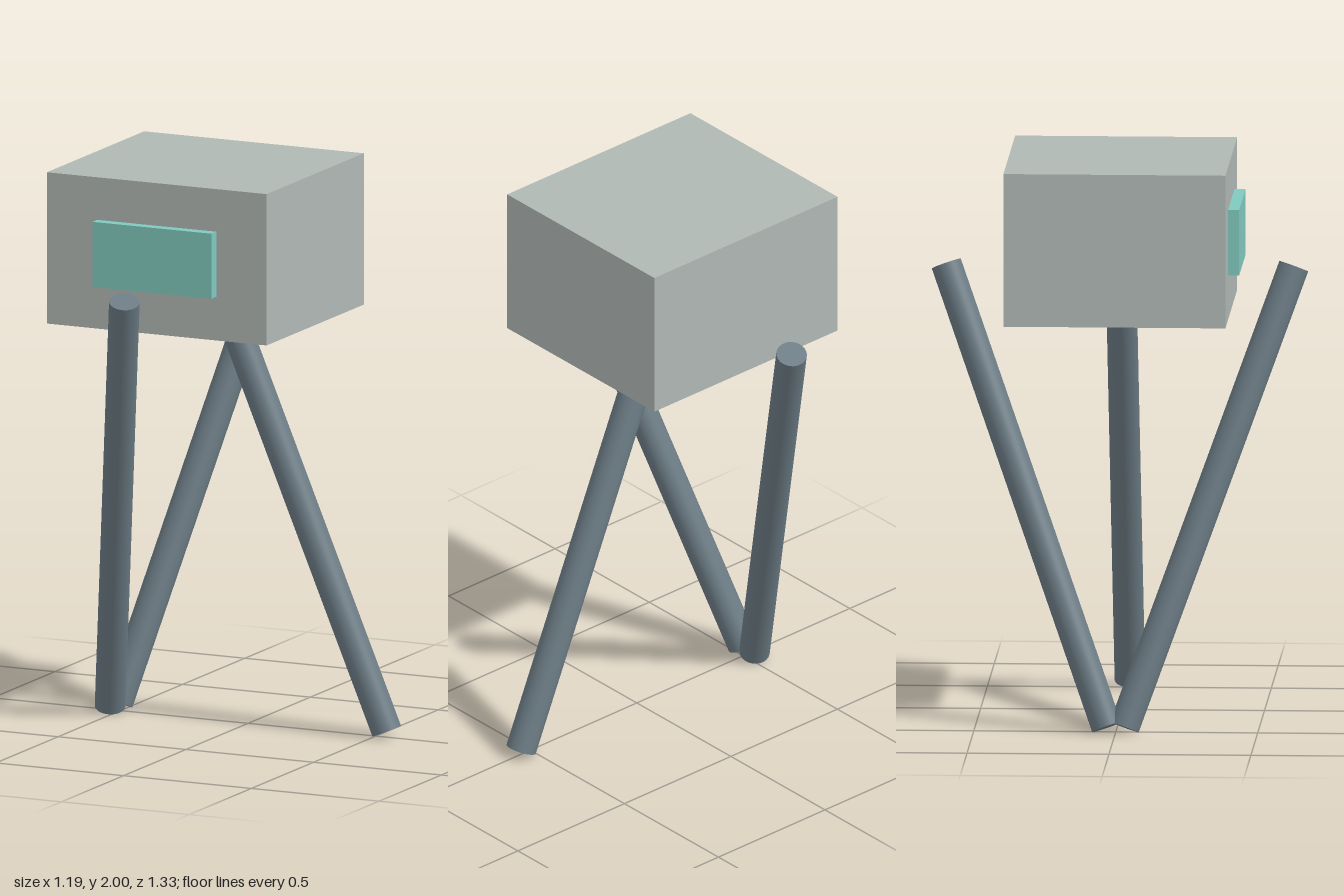
import * as THREE from 'three';

export function createModel() {
  const group = new THREE.Group();
  const mat = (name, color) => {
    const m = new THREE.MeshStandardMaterial({ color });
    m.name = name;
    return m;
  };
  const bodyGrey = mat('body grey', 0xb0b8b4);
  const legSlate = mat('leg slate', 0x6c7c85);
  const panelTeal = mat('panel teal', 0x80c9be);

  // Box between two opposite corners
  const box = (name, material, min, max) => {
    const size = max.map((v, i) => v - min[i]);
    const mesh = new THREE.Mesh(new THREE.BoxGeometry(...size), material);
    mesh.position.set(...max.map((v, i) => (v + min[i]) / 2));
    mesh.name = name;
    group.add(mesh);
  };
  box('body', bodyGrey, [-0.597, 1.456, -0.391], [0.263, 2, 0.391]);
  box('frontPanel', panelTeal, [-0.4, 1.613, 0.38], [0.066, 1.847, 0.43]);

  // Round straight leg between two points
  const leg = (name, foot, top) => {
    const a = new THREE.Vector3(...foot);
    const b = new THREE.Vector3(...top);
    const dir = b.clone().sub(a);
    const mesh = new THREE.Mesh(new THREE.CylinderGeometry(0.054, 0.054, dir.length(), 32), legSlate);
    mesh.position.copy(a).add(b).multiplyScalar(0.5);
    mesh.quaternion.setFromUnitVectors(new THREE.Vector3(0, 1, 0), dir.normalize());
    mesh.name = name;
    group.add(mesh);
  };
  leg('leftLeg', [0.543, 0.021, 0], [-0.13, 1.614, 0]);
  for (const [name, s] of [['frontLeg', 1], ['backLeg', -1]]) {
    leg(name, [-0.525, 0.021, s * 0.031], [-0.186, 1.614, s * 0.612]);
  }

  return group;
}
